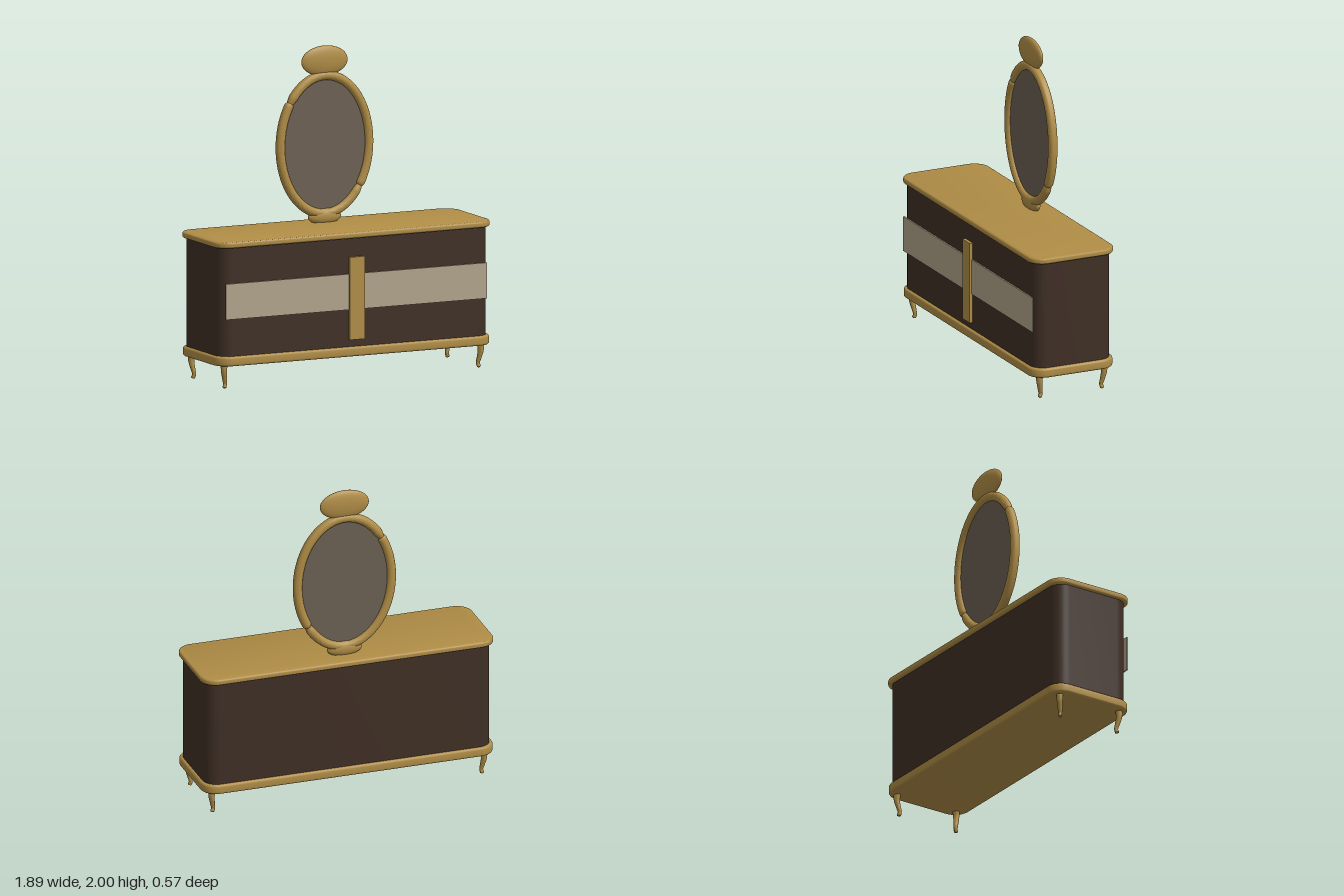
import * as THREE from 'three';
import { toCreasedNormals } from 'three/addons/utils/BufferGeometryUtils.js';

const paint = (name, color) => {
  const m = new THREE.MeshStandardMaterial({ color });
  m.name = name;
  return m;
};

export function createModel() {
  const group = new THREE.Group();
  const gold = paint('gold', 0xb08d46);
  const darkWood = paint('darkWood', 0x3f2f25);
  const cream = paint('cream', 0xb0a48b);
  const glass = paint('mirrorGlass', 0x6c6053);

  const add = (name, geometry, material, x = 0, y = 0, z = 0) => {
    const mesh = new THREE.Mesh(geometry, material);
    mesh.name = name;
    mesh.position.set(x, y, z);
    group.add(mesh);
    return mesh;
  };

  // Upright slab with rounded corners in plan and softened upper and lower rims
  const slab = (hx, hz, r, height, bevel) => {
    const x = hx - bevel, z = hz - bevel, c = r - bevel;
    const s = new THREE.Shape();
    s.moveTo(x, -z + c);
    s.absarc(x - c, z - c, c, 0, Math.PI / 2);
    s.absarc(-x + c, z - c, c, Math.PI / 2, Math.PI);
    s.absarc(-x + c, -z + c, c, Math.PI, Math.PI * 1.5);
    s.absarc(x - c, -z + c, c, Math.PI * 1.5, Math.PI * 2);
    const g = new THREE.ExtrudeGeometry(s, {
      depth: height - 2 * bevel, curveSegments: 12, bevelEnabled: bevel > 0,
      bevelSize: bevel, bevelThickness: bevel, bevelSegments: 4,
    });
    g.translate(0, 0, bevel);
    g.rotateX(-Math.PI / 2);
    return toCreasedNormals(g, 0.6);
  };

  // Tube whose thickness follows a rule along its length
  const taperedTube = (curve, steps, sides, closed, radiusAt) => {
    const g = new THREE.TubeGeometry(curve, steps, 1, sides, closed);
    const p = g.attributes.position;
    const v = new THREE.Vector3();
    for (let i = 0; i <= steps; i++) {
      const centre = curve.getPointAt(i / steps);
      for (let j = 0; j <= sides; j++) {
        const k = i * (sides + 1) + j;
        v.fromBufferAttribute(p, k).sub(centre).multiplyScalar(radiusAt(i / steps, centre)).add(centre);
        p.setXYZ(k, v.x, v.y, v.z);
      }
    }
    return toCreasedNormals(g, 0.7);
  };

  // Cabinet
  add('base', slab(0.94, 0.283, 0.1, 0.06, 0.014), gold, 0, 0.145, 0);
  add('cabinetBody', slab(0.922, 0.265, 0.09, 0.68, 0), darkWood, 0, 0.2, 0);
  add('tabletop', slab(0.943, 0.286, 0.1, 0.038, 0.012), gold, 0, 0.874, 0);

  // Front decoration
  add('frontBand', new THREE.BoxGeometry(1.784, 0.22, 0.009), cream, 0, 0.545, 0.27);
  add('centreBar', new THREE.BoxGeometry(0.102, 0.51, 0.022), gold, 0, 0.505, 0.275);

  // Curved legs, bowed diagonally outwards
  for (const sx of [-1, 1]) for (const sz of [-1, 1]) {
    const path = [[0.004, 0.15], [0.005, 0.11], [-0.002, 0.065], [-0.008, 0.028], [-0.004, 0.01], [-0.002, 0]]
      .map(([o, y]) => new THREE.Vector3(sx * (0.873 + o), y, sz * (0.214 + o)));
    const leg = taperedTube(new THREE.CatmullRomCurve3(path), 24, 14, false,
      (t) => (t === 1 ? 0 : t > 0.86 ? 0.0125 : 0.022 - 0.0125 * t));
    add('leg', leg, gold);
  }

  // Oval mirror
  const mirrorY = 1.39, mirrorZ = -0.155;
  class Oval extends THREE.Curve {
    getPoint(t, out = new THREE.Vector3()) {
      const a = t * Math.PI * 2;
      return out.set(0.302 * Math.cos(a), 0.426 * Math.sin(a), 0);
    }
  }
  // Frame pinched at two opposite joints
  const joint = new THREE.Vector2(-0.246, 0.266);
  const frame = taperedTube(new Oval(), 240, 20, true, (t, c) => {
    const side = c.x < 0 ? 1 : -1;
    const d = Math.hypot(c.x * side - joint.x, c.y * side - joint.y);
    const above = c.y * side > joint.y;
    const reach = above ? 0.045 : 0.012;
    return 0.029 * (d < reach ? 0.45 + 0.55 * Math.sqrt(d / reach) : 1);
  });
  add('mirrorFrame', frame, gold, 0, mirrorY, mirrorZ);

  const pane = new THREE.CylinderGeometry(1, 1, 0.012, 64);
  pane.rotateX(Math.PI / 2);
  pane.scale(0.295, 0.42, 1);
  add('mirrorGlass', pane, glass, 0, mirrorY, mirrorZ);

  // Crest and foot ornaments
  const crest = new THREE.SphereGeometry(1, 40, 24);
  crest.scale(0.158, 0.094, 0.03);
  add('crest', crest, gold, 0, 1.906, mirrorZ);
  const foot = new THREE.SphereGeometry(1, 32, 20);
  foot.scale(0.112, 0.05, 0.033);
  add('mirrorFoot', foot, gold, 0, 0.946, mirrorZ);

  return group;
}
